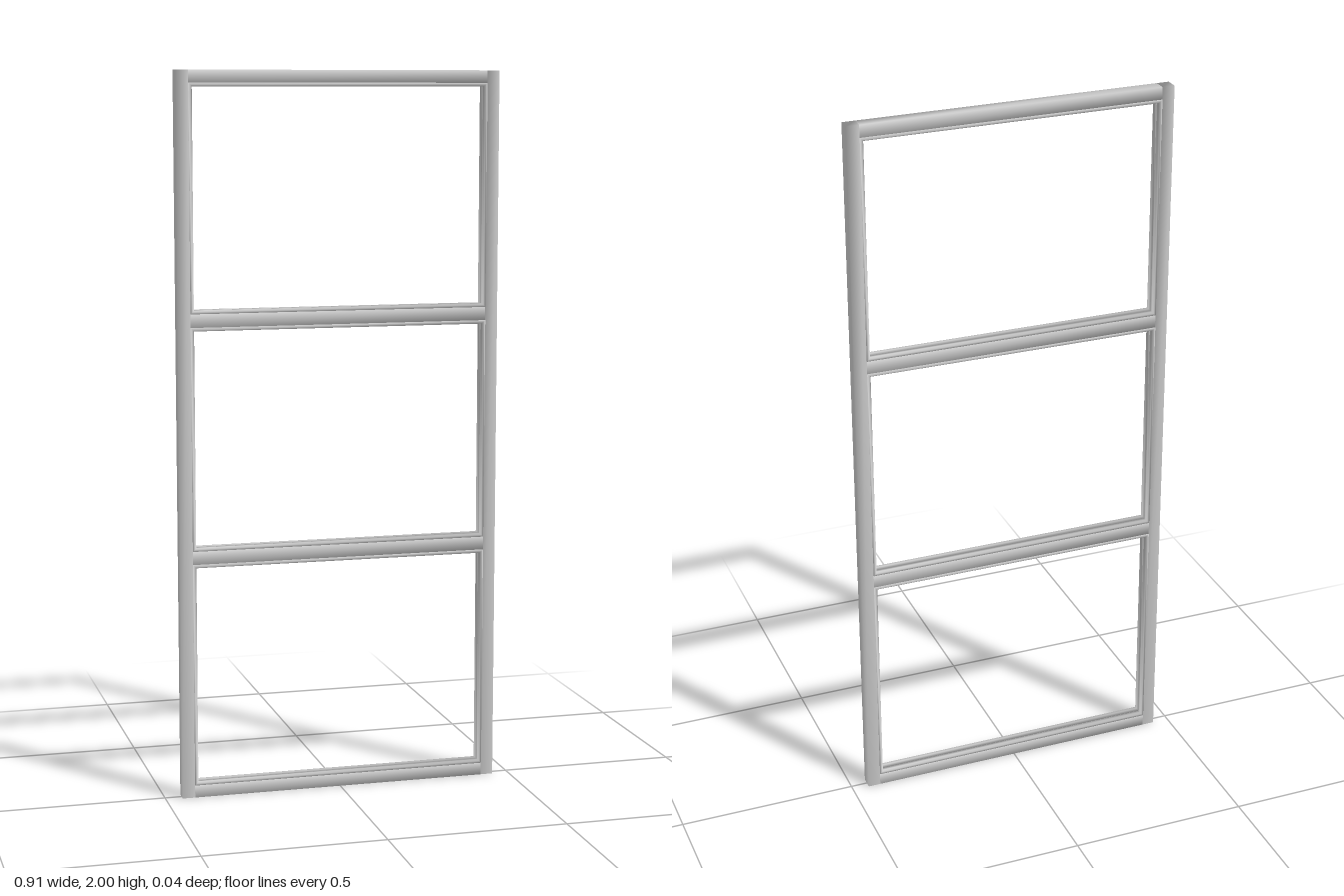
import * as THREE from 'three';
import { mergeVertices } from 'three/addons/utils/BufferGeometryUtils.js';

const material = new THREE.MeshStandardMaterial({ color: 0xcccccc });

// Shares corner vertices so that the shading runs softly round the edges.
function soften(geometry) {
  geometry.deleteAttribute('normal');
  geometry.deleteAttribute('uv');
  const g = mergeVertices(geometry, 1e-5);
  g.computeVertexNormals();
  return g;
}

// Mitred rectangular trim: sweeps a profile of [inset, z] points round an opening.
function trimGeometry(x, y0, y1, profile) {
  const corner = ([inset, z], k) => [
    (k === 0 || k === 3 ? -1 : 1) * (x - inset),
    k < 2 ? y0 + inset : y1 - inset,
    z,
  ];
  const pos = [];
  for (let k = 0; k < 4; k++) {
    const next = (k + 1) % 4;
    profile.forEach((p, i) => {
      const q = profile[(i + 1) % profile.length];
      const a = corner(p, k), b = corner(p, next), c = corner(q, next), d = corner(q, k);
      pos.push(...a, ...b, ...c, ...a, ...c, ...d);
    });
  }
  const g = new THREE.BufferGeometry();
  g.setAttribute('position', new THREE.Float32BufferAttribute(pos, 3));
  return g;
}

export function createModel() {
  const group = new THREE.Group();
  const add = (name, geometry, x = 0, y = 0) => {
    const mesh = new THREE.Mesh(soften(geometry), material);
    mesh.name = name;
    mesh.position.set(x, y, 0);
    group.add(mesh);
  };

  const outer = 0.453, inner = 0.418, depth = 0.037;

  // Full-height side posts
  for (const [name, s] of [['leftStile', 1], ['rightStile', -1]]) {
    add(name, new THREE.BoxGeometry(outer - inner, 2, depth), s * (outer + inner) / 2, 1);
  }

  // Cross rails, bottom to top
  const rails = [
    ['bottomRail', 0, 0.035], ['lowerRail', 0.66, 0.697],
    ['upperRail', 1.312, 1.349], ['topRail', 1.966, 2],
  ];
  for (const [name, y0, y1] of rails) {
    add(name, new THREE.BoxGeometry(inner * 2, y1 - y0, depth), 0, (y0 + y1) / 2);
  }

  // Slightly proud glazing beads, front and back, leaving a groove between them
  const front = [[0, 0.007], [0, 0.0205], [0.006, 0.0205], [0.01, 0.016], [0.01, 0.007]];
  const back = front.map(([inset, z]) => [inset, -z]).reverse();
  for (let i = 0; i < 3; i++) {
    const y0 = rails[i][2], y1 = rails[i + 1][1];
    add('frontBead', trimGeometry(inner, y0, y1, front));
    add('backBead', trimGeometry(inner, y0, y1, back));
  }
  return group;
}
